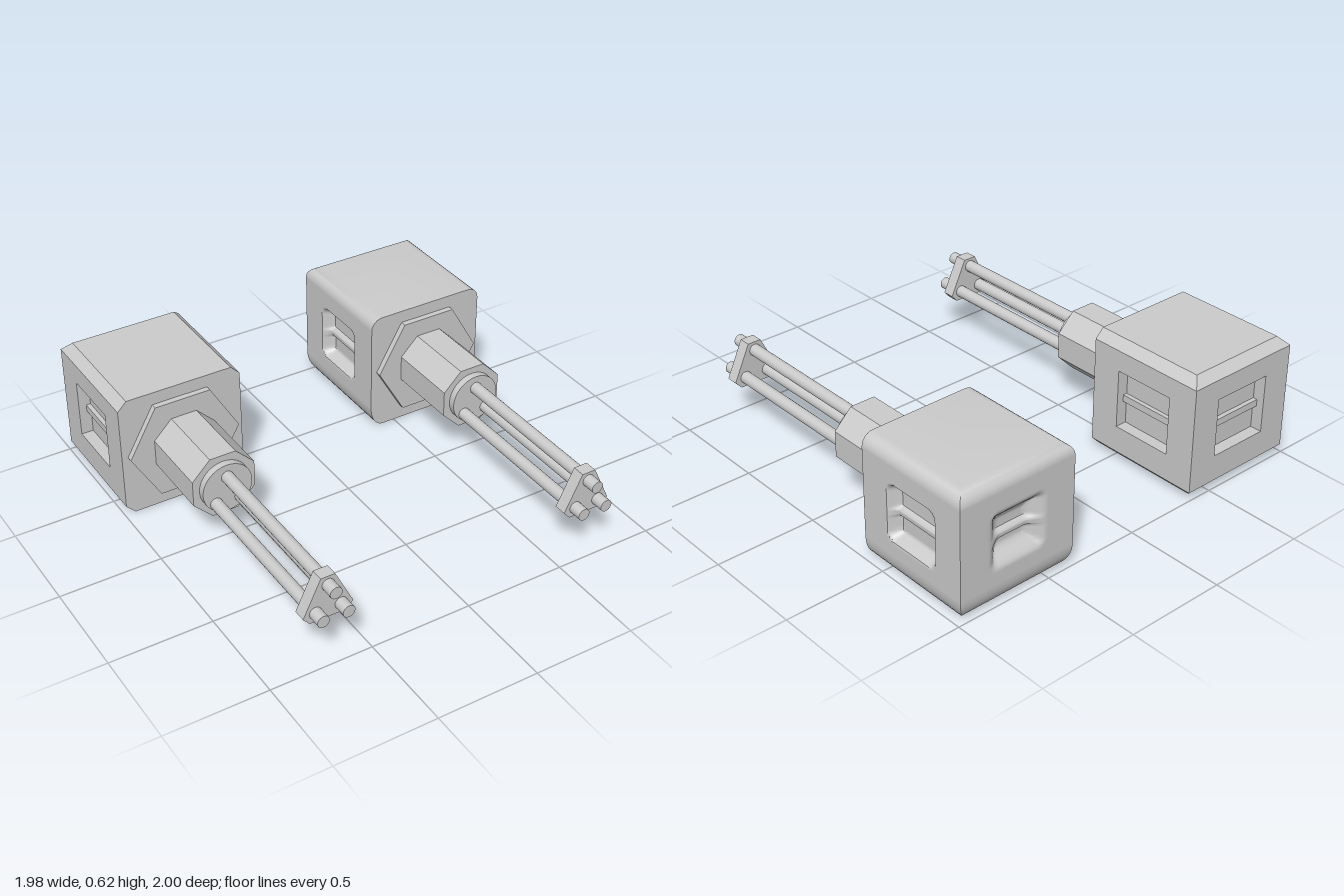
import * as THREE from 'three';
import { mergeGeometries, toCreasedNormals } from 'three/addons/utils/BufferGeometryUtils.js';

const W = 0.3125;          // half size of the rear block
const AXIS = 0.005;        // barrel axis, relative to the block centre
const WIN = { w: 0.158, h: 0.148, y: 0.015, depth: 0.06 };
const mat = new THREE.MeshStandardMaterial({ color: 0xcccccc });

// Skin between rings that hold the same number of [x, y, z] points
function loft(rings) {
  const pos = [];
  const same = (p, q) => p.every((v, i) => v === q[i]);
  for (let r = 0; r + 1 < rings.length; r++) {
    const a = rings[r], b = rings[r + 1], n = a.length;
    for (let i = 0; i < n; i++) {
      const j = (i + 1) % n;
      pos.push(...a[i], ...a[j], ...b[j]);
      if (!same(b[i], b[j])) pos.push(...a[i], ...b[j], ...b[i]);
    }
  }
  const geo = new THREE.BufferGeometry();
  geo.setAttribute('position', new THREE.Float32BufferAttribute(pos, 3));
  return geo;
}

const rect = (x, y0, y1, z) => [[-x, y0, z], [x, y0, z], [x, y1, z], [-x, y1, z]];

// Edge profile as [inset, height] steps, from the wall to the top or bottom
function edgeProfile(inset, height, steps) {
  return Array.from({ length: steps + 1 }, (_, k) => {
    const a = (k / steps) * Math.PI / 2;
    return [inset * (1 - Math.cos(a)), W - height * (1 - Math.sin(a))];
  });
}

// Top or bottom of the block; the front edge stays square
function cap(profile, dir) {
  const rings = profile.map(([i, h]) =>
    rect(W - i, -W + (dir < 0 ? i : 0), W - (dir > 0 ? i : 0), h));
  rings.push(Array(4).fill([0, 0, W]));
  return loft(rings).rotateX(-dir * Math.PI / 2);
}

// Wall with a sharp recessed window
function sharpWall(y0, y1) {
  const { w, h, y, depth } = WIN;
  return loft([
    rect(W, y0, y1, W), rect(w, y - h, y + h, W),
    rect(w, y - h, y + h, W - depth), Array(4).fill([0, y, W - depth]),
  ]);
}

// Wall with a soft dished window and a ridge across it
function softWall(y0, y1, soft) {
  const grid = new THREE.PlaneGeometry(2 * W, y1 - y0, 56, 56).translate(0, (y0 + y1) / 2, W);
  const p = grid.attributes.position, r = 0.05;
  for (let i = 0; i < p.count; i++) {
    const x = p.getX(i), y = p.getY(i);
    const dx = Math.abs(x) - WIN.w + r, dy = Math.abs(y - WIN.y) - WIN.h + r;
    const dist = Math.hypot(Math.max(dx, 0), Math.max(dy, 0)) + Math.min(Math.max(dx, dy), 0) - r;
    const dish = THREE.MathUtils.smoothstep(-dist, 0, soft);
    const ridge = 0.022 * (1 - THREE.MathUtils.smoothstep(Math.abs(y - AXIS), 0.008, 0.03));
    p.setZ(i, W - dish * (WIN.depth - ridge));
  }
  const geo = grid.toNonIndexed();
  geo.deleteAttribute('uv');
  geo.deleteAttribute('normal');
  return geo;
}

function makeBlock(smooth) {
  const block = new THREE.Group();
  block.name = 'rearBlock';
  const chamfer = [[0, W - 0.045], [0.045, W]];
  const top = smooth ? edgeProfile(0.06, 0.06, 6) : chamfer;
  const bottom = smooth ? edgeProfile(0.07, 0.11, 7) : chamfer;
  const y0 = -bottom[0][1], y1 = top[0][1];
  const parts = [cap(top, 1), cap(bottom, -1)];

  // Front face follows the edge profiles
  const up = top.map(([i, h]) => [W - i, h, W]);
  const down = bottom.map(([i, h]) => [W - i, -h, W]).reverse();
  const right = [...down, ...up];
  const front = [...right, ...right.map(([x, y, z]) => [-x, y, z]).reverse()];
  parts.push(loft([front, Array(front.length).fill([0, 0, W])]));

  // Windowed walls on both sides and the back
  for (const angle of [Math.PI / 2, -Math.PI / 2, Math.PI]) {
    const wall = smooth ? softWall(y0, y1, angle === Math.PI ? 0.09 : 0.035) : sharpWall(y0, y1);
    parts.push(wall.rotateY(angle));
    if (!smooth) {
      const bar = new THREE.BoxGeometry(2 * WIN.w, 0.035, 0.022)
        .translate(0, AXIS, W - WIN.depth + 0.011).rotateY(angle);
      const mesh = new THREE.Mesh(bar, mat);
      mesh.name = 'windowBar';
      block.add(mesh);
    }
  }
  const shell = new THREE.Mesh(toCreasedNormals(mergeGeometries(parts), smooth ? 0.75 : 0.1), mat);
  shell.name = 'blockShell';
  block.add(shell);
  block.position.z = -1 + W;
  return block;
}

// Prism or cylinder lying along z
function rod(name, radius, sides, z0, z1, x, y, start = 0) {
  let geo = new THREE.CylinderGeometry(radius, radius, z1 - z0, sides, 1, false, start);
  geo.rotateX(Math.PI / 2);
  if (sides <= 8) geo = toCreasedNormals(geo, 0.1);
  const mesh = new THREE.Mesh(geo, mat);
  mesh.name = name;
  mesh.position.set(x, y, (z0 + z1) / 2);
  return mesh;
}

function makeGun(smooth) {
  const gun = new THREE.Group();
  gun.add(makeBlock(smooth));
  gun.add(rod('hexPlate', 0.282, 6, -0.375, -0.345, 0, AXIS, Math.PI / 2));
  gun.add(rod('barrelHousing', 0.17, 8, -0.345, 0.03, 0, AXIS, Math.PI / 8));
  gun.add(rod('collar', 0.125, 32, 0.03, 0.065, 0, AXIS));

  // Three barrels
  for (const [x, y] of [[0, 0.067], [-0.062, -0.06], [0.062, -0.06]]) {
    gun.add(rod('barrel', 0.03, 20, 0.065, 1, x, y));
  }

  // Triangular clamp near the muzzles
  const shape = new THREE.Shape([
    [-0.09, -0.108], [0.09, -0.108], [0.122, -0.072],
    [0.035, 0.11], [-0.035, 0.11], [-0.122, -0.072],
  ].map(([x, y]) => new THREE.Vector2(x, y)));
  const clamp = new THREE.Mesh(
    new THREE.ExtrudeGeometry(shape, { depth: 0.062, bevelEnabled: false }), mat);
  clamp.name = 'barrelClamp';
  clamp.position.z = 0.872;
  gun.add(clamp);
  return gun;
}

export function createModel() {
  const model = new THREE.Group();
  const facetedGun = makeGun(false);
  facetedGun.name = 'facetedGun';
  facetedGun.position.set(-0.677, W, 0);
  const smoothGun = makeGun(true);
  smoothGun.name = 'smoothGun';
  smoothGun.position.set(0.677, W, 0);
  model.add(facetedGun, smoothGun);
  return model;
}
